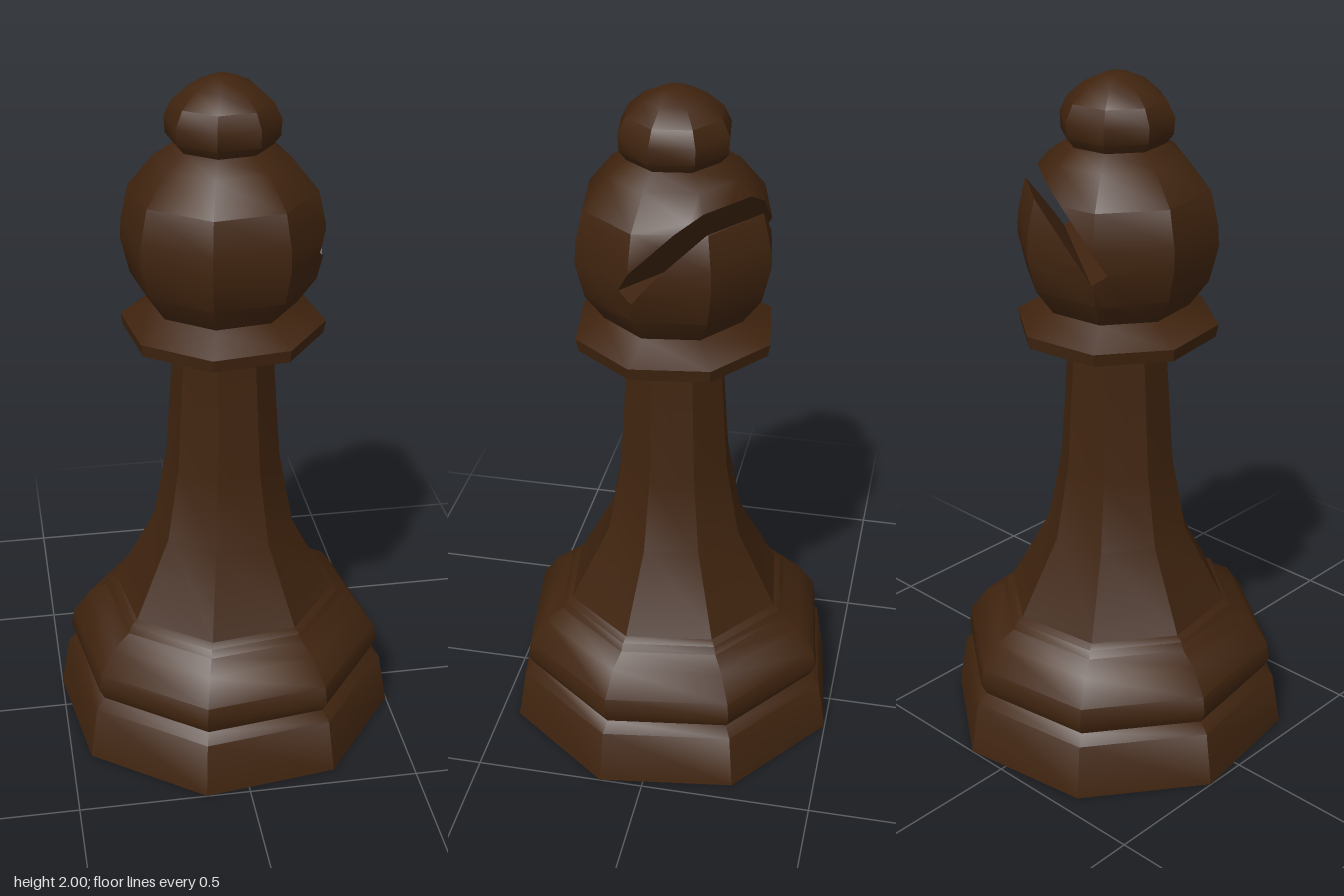
import * as THREE from 'three';
import { toCreasedNormals } from 'three/addons/utils/BufferGeometryUtils.js';

const SIDES = 8;
const CREASE = 0.7;
const V = (x, y, z) => new THREE.Vector3(x, y, z);

// Eight-sided turned shape from [radius, height] pairs, one flat side facing +z
function turned(profile) {
  const points = profile.map(([r, y]) => new THREE.Vector2(r, y));
  return new THREE.LatheGeometry(points, SIDES, Math.PI / SIDES);
}

// Part of a convex polygon behind a plane
function clip(poly, plane) {
  const out = [];
  poly.forEach((p, i) => {
    const q = poly[(i + 1) % poly.length];
    const dp = plane.distanceToPoint(p), dq = plane.distanceToPoint(q);
    if (dp <= 0) out.push(p);
    if ((dp < 0 && dq > 0) || (dp > 0 && dq < 0)) out.push(p.clone().lerp(q, dp / (dp - dq)));
  });
  return out;
}
const clipAll = (poly, planes) => planes.reduce(clip, poly);

// Turned head with a slanted slot sawn into its +z side
function slottedHead(profile) {
  const pos = turned(profile).toNonIndexed().getAttribute('position');
  const faces = [];
  for (let i = 0; i < pos.count; i += 3) {
    faces.push([0, 1, 2].map((k) => new THREE.Vector3().fromBufferAttribute(pos, i + k)));
  }
  const shell = faces.map((f) => new THREE.Plane().setFromCoplanarPoints(...f));

  // Slot frame: across, along its depth, and through its width
  const angle = THREE.MathUtils.degToRad(57), width = 0.05;
  const across = V(1, 0, 0);
  const along = V(0, Math.sin(angle), Math.cos(angle));
  const through = across.clone().cross(along);
  const a = V(0, 1.52, 0.07);
  const b = a.clone().addScaledVector(through, width);
  const plane = (n, p) => new THREE.Plane().setFromNormalAndCoplanarPoint(n, p);
  const upper = plane(through, a), lower = plane(through, b), floor = plane(along, a);

  // Outer skin: above the slot, below it, and behind its floor
  const polys = [];
  for (const f of faces) {
    polys.push(clipAll(f, [upper]));
    polys.push(clipAll(f, [lower.clone().negate()]));
    polys.push(clipAll(f, [upper.clone().negate(), lower, floor]));
  }

  // Slot walls and floor, trimmed to the skin
  const at = (o, s, d) => o.clone().addScaledVector(across, s).addScaledVector(along, d);
  const walls = [
    [at(a, -1, 0), at(a, 1, 0), at(a, 1, 1), at(a, -1, 1)],
    [at(b, -1, 1), at(b, 1, 1), at(b, 1, 0), at(b, -1, 0)],
    [at(a, -1, 0), at(b, -1, 0), at(b, 1, 0), at(a, 1, 0)],
  ];
  for (const w of walls) polys.push(clipAll(w, shell));

  const verts = [];
  for (const p of polys) {
    for (let i = 2; i < p.length; i++) {
      for (const v of [p[0], p[i - 1], p[i]]) verts.push(v.x, v.y, v.z);
    }
  }
  const geometry = new THREE.BufferGeometry();
  geometry.setAttribute('position', new THREE.Float32BufferAttribute(verts, 3));
  return geometry;
}

export function createModel() {
  const wood = new THREE.MeshStandardMaterial({ color: 0x40240f });
  wood.name = 'darkWood';
  const model = new THREE.Group();
  model.name = 'chessBishop';

  const add = (name, geometry) => {
    const mesh = new THREE.Mesh(toCreasedNormals(geometry, CREASE), wood);
    mesh.name = name;
    model.add(mesh);
  };

  // Foot with a closed underside
  add('foot', turned([[0, 0], [0.515, 0], [0.488, 0.16], [0.458, 0.188]]));
  // Rounded ring above the groove
  add('baseRing', turned([
    [0.458, 0.188], [0.476, 0.223], [0.467, 0.275], [0.415, 0.348],
    [0.362, 0.378], [0.35, 0.4], [0.33, 0.412],
  ]));
  // Flared stem
  add('stem', turned([[0.33, 0.412], [0.208, 0.642], [0.167, 0.865], [0.143, 1.232]]));
  // Collar under the head
  add('collar', turned([[0.143, 1.232], [0.285, 1.263], [0.292, 1.3], [0.208, 1.353]]));
  // Slotted head
  add('head', slottedHead([
    [0.208, 1.353], [0.262, 1.428], [0.287, 1.53], [0.284, 1.59],
    [0.262, 1.687], [0.19, 1.775], [0.135, 1.812],
  ]));
  // Knob on top
  add('knob', turned([
    [0.13, 1.805], [0.157, 1.838], [0.16, 1.885], [0.138, 1.93], [0.09, 1.972], [0.035, 1.997], [0, 2],
  ]));

  // Turn the slot towards the back
  model.children.forEach((m) => m.geometry.rotateY(THREE.MathUtils.degToRad(143.1)));
  return model;
}
